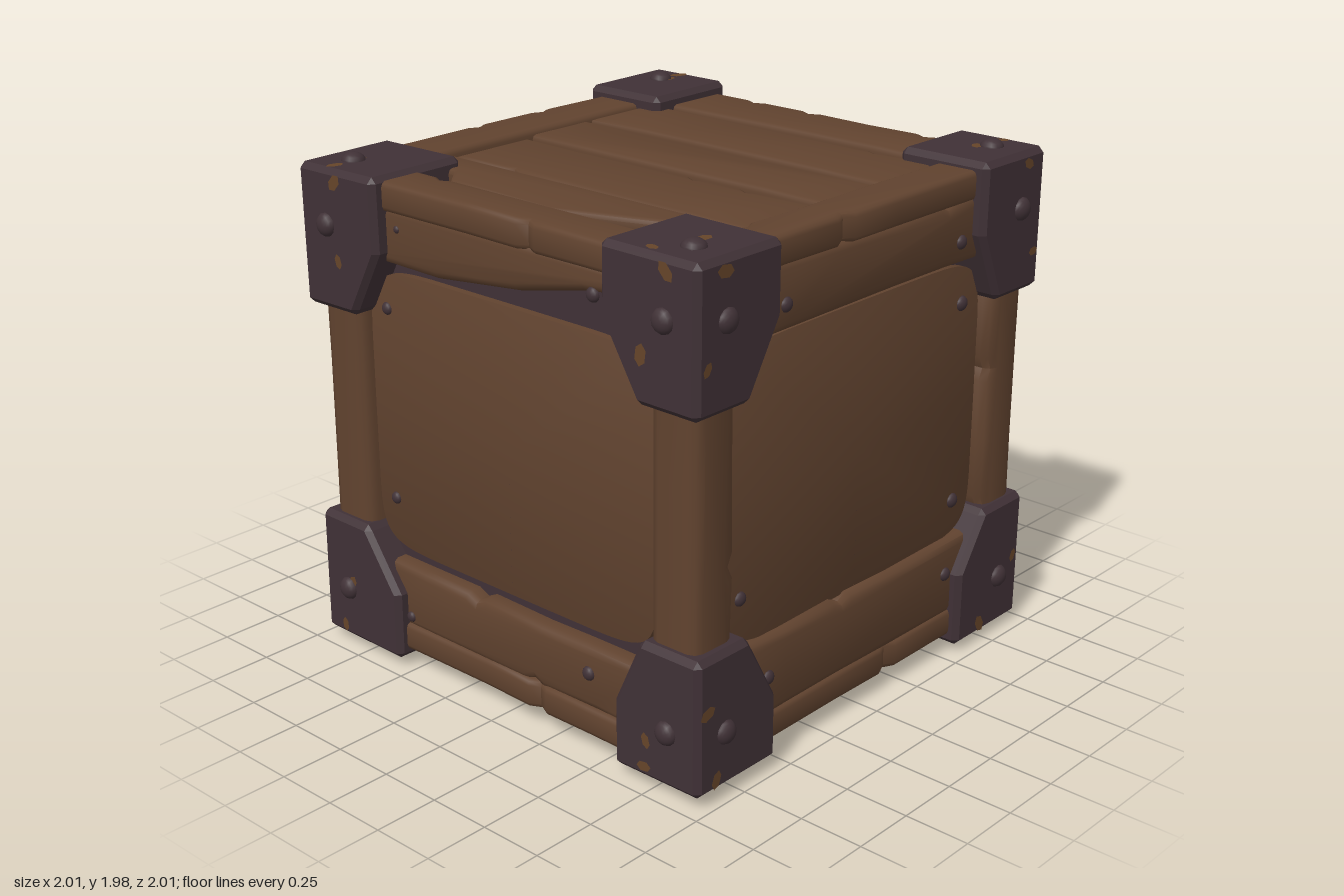
import * as THREE from 'three';
import { toCreasedNormals } from 'three/addons/utils/BufferGeometryUtils.js';
import { ConvexGeometry } from 'three/addons/geometries/ConvexGeometry.js';

const wood = new THREE.MeshStandardMaterial({ color: 0x61432f });
wood.name = 'brown wood';
const metal = new THREE.MeshStandardMaterial({ color: 0x403136 });
metal.name = 'dark metal';
const worn = new THREE.MeshStandardMaterial({ color: 0x664529 });
worn.name = 'worn edge';

let seed = 7;
const rnd = () => (seed = (seed * 16807) % 2147483647) / 2147483647;
const jitter = (a) => (rnd() * 2 - 1) * a;

function add(parent, name, geometry, material) {
  const mesh = new THREE.Mesh(geometry, material);
  mesh.name = name;
  parent.add(mesh);
  return mesh;
}

// Rectangle outline with worn, notched long sides
function wornRect(x0, y0, x1, y1) {
  const w = x1 - x0, h = y1 - y0, long = Math.max(w, h), short = Math.min(w, h);
  const side = (from, to, v, inward) => {
    const pts = [[from, v]];
    for (let i = 1; i < 5; i++) {
      const u = from + (to - from) * (i / 5) + jitter(0.04);
      const d = Math.sign(to - from) * 0.045;
      if (rnd() < 0.25) pts.push([u - d, v], [u, v + inward * 0.022], [u + d, v]);
      else pts.push([u, v + inward * rnd() * 0.009]);
    }
    return pts.concat([[to, v]]);
  };
  const pts = [...side(0, long, 0, 1), ...side(long, 0, short, -1)];
  return w >= h ? pts.map(([u, v]) => [x0 + u, y0 + v])
    : pts.map(([u, v]) => [x0 + v, y0 + u]).reverse();
}

// Bevelled board lying in a face, its outside at z = outer
function board(face, name, outline, outer, depth, bevel = 0.018) {
  const shape = new THREE.Shape(outline.map(([x, y]) => new THREE.Vector2(x, y)));
  const g = new THREE.ExtrudeGeometry(shape, {
    depth: depth - 2 * bevel, bevelThickness: bevel, bevelSize: bevel,
    bevelOffset: -bevel, bevelSegments: 2, steps: 1,
  });
  g.translate(0, 0, outer - depth + bevel);
  return add(face, name, toCreasedNormals(g, 0.85), wood);
}

const dome = new THREE.SphereGeometry(1, 12, 5, 0, Math.PI * 2, 0, Math.PI / 2).rotateX(Math.PI / 2);
function rivet(parent, x, y, z, r) {
  const m = add(parent, 'rivet', dome, metal);
  m.position.set(x, y, z);
  m.scale.set(r, r, r * 0.75);
}

// Slightly pillowed panel with rounded corners
function panel(face) {
  const g = new THREE.CylinderGeometry(1, 1, 0.05, 64).rotateX(Math.PI / 2);
  const p = g.attributes.position, n = g.attributes.normal;
  const square = (c, a) => Math.sign(c) * a * Math.pow(Math.abs(c), 0.24);
  for (let i = 0; i < p.count; i++) {
    const cx = p.getX(i), cy = p.getY(i);
    p.setXY(i, square(cx, 0.71), square(cy, 0.55));
    if (n.getZ(i) > 0.9) {
      const v = new THREE.Vector3(p.getX(i) * 0.3, p.getY(i) * 0.45, 1).normalize();
      n.setXYZ(i, v.x, v.y, v.z);
    }
  }
  g.translate(0, 1, 0.85);
  add(face, 'panel', g, wood);
}

function sideFace(name, angle, broken) {
  const face = new THREE.Group();
  face.name = name;
  face.rotation.y = angle;
  panel(face);
  const upper = broken
    ? [[-0.7, 1.59], [-0.3, 1.585], [-0.08, 1.61], [0.1, 1.63], [0.42, 1.7], [0.7, 1.73], [0.7, 1.805], [-0.7, 1.805]]
    : wornRect(-0.7, 1.56, 0.7, 1.81);
  board(face, 'upperBeam', upper, 0.915, 0.12, 0.03);
  board(face, 'lowerBeam', wornRect(-0.7, 0.15, 0.7, broken ? 0.405 : 0.46), 0.915, 0.12, 0.03);
  const rivets = broken
    ? [[-0.62, 1.4, 0.872, 0.025], [-0.62, 0.65, 0.872, 0.025], [-0.5, 1.73, 0.912, 0.015],
      [0.46, 1.7, 0.905, 0.028], [0.42, 0.3, 0.912, 0.028], [-0.52, 0.2, 0.912, 0.022]]
    : [[-0.64, 1.38, 0.872, 0.017], [0.6, 1.39, 0.872, 0.03], [-0.64, 0.64, 0.872, 0.028], [0.6, 0.6, 0.872, 0.03],
      [-0.47, 1.66, 0.912, 0.028], [0.52, 1.65, 0.912, 0.028], [-0.53, 0.31, 0.912, 0.028], [0.52, 0.33, 0.912, 0.028]];
  rivets.forEach((r) => rivet(face, ...r));
  return face;
}

// Frame and planks of the lid or the base; local y runs along the depth
function flatFace(name, rotation, outer, flip) {
  const face = new THREE.Group();
  face.name = name;
  face.rotation.x = rotation;
  const s = flip ? -1 : 1;
  const span = (a, b) => [Math.min(a * s, b * s), Math.max(a * s, b * s)];
  const frame = (x0, x1, ya, yb, lift) => {
    const [y0, y1] = span(ya, yb);
    board(face, 'frameBoard', wornRect(x0, y0, x1, y1), outer + lift, 0.11, 0.02);
  };
  frame(-0.8, 0.8, -0.92, -0.73, 0);
  frame(-0.8, 0.8, 0.69, 0.92, 0);
  frame(-0.93, -0.735, -0.73, 0.69, -0.004);
  frame(0.635, 0.925, -0.73, 0.69, -0.004);
  for (const [x0, x1, y1] of [[-0.445, -0.075, 0.7], [-0.05, 0.26, 0.75], [0.275, 0.625, 0.7]]) {
    const [a, b] = span(-0.725, y1);
    board(face, 'plank', wornRect(x0, a, x1, b), outer - 0.02 + jitter(0.008), 0.08);
  }
  // Split outer plank that leaves a three-cornered gap
  const split = [[-0.455, -0.72], [-0.455, 0.7], [-0.6, 0.7], [-0.61, 0.53], [-0.71, 0.44], [-0.73, -0.08], [-0.5, -0.7]];
  board(face, 'splitPlank', flip ? split.map(([x, y]) => [x, -y]).reverse() : split, outer - 0.02, 0.08);
  return face;
}

// Metal cap over one corner, with softened edges, rivets and worn spots
function cornerCap(sx, sy, sz) {
  const cap = new THREE.Group();
  cap.name = 'cornerCap';
  const inX = 0.58 + jitter(0.03), inZ = 0.58 + jitter(0.03), mid = 0.68 + jitter(0.03);
  const low = 0.455 + jitter(0.02), cut = 0.71, out = 0.943, end = 0.93, r = 0.022;
  const corners = [];
  for (const v of [end, mid]) {
    for (const x of [inX, out]) for (const z of [inZ, out]) corners.push([x, v, z]);
  }
  corners.push([cut, low, cut], [cut, low, out], [out, low, cut], [out, low, out]);
  const pts = [];
  for (const [x, y, z] of corners) {
    for (const d of [-r, r]) {
      pts.push(new THREE.Vector3(sx * (x + d), sy * y, sz * z),
        new THREE.Vector3(sx * x, sy * (y + d), sz * z),
        new THREE.Vector3(sx * x, sy * y, sz * (z + d)));
    }
  }
  add(cap, 'capShell', new ConvexGeometry(pts), metal);
  const directions = [[sx, 0, 0], [0, sy, 0], [0, 0, sz]];
  directions.forEach((d, axis) => {
    const plate = new THREE.Group();
    plate.name = 'capDetail';
    plate.quaternion.setFromUnitVectors(new THREE.Vector3(0, 0, 1), new THREE.Vector3(...d));
    const toPlate = plate.quaternion.clone().invert();
    const place = (a, b, c) => {
      const v = [sx * a, sy * b, sz * c];
      v[axis] = d[axis] * (axis === 1 ? end + r : out + r);
      return new THREE.Vector3(...v).applyQuaternion(toPlate);
    };
    const p = place(0.82, 0.74, 0.82);
    rivet(plate, p.x, p.y, p.z - 0.005, 0.046);
    // Irregular worn spots near the edges
    for (let i = 0; i < 2; i++) {
      const spots = [[0.68 + rnd() * 0.2, 0.905, 0.68 + rnd() * 0.2], [0.915, 0.55 + rnd() * 0.3, 0.72 + rnd() * 0.1]];
      const spot = add(plate, 'wornSpot', new THREE.CircleGeometry(0.02 + rnd() * 0.012, 6), worn);
      spot.position.copy(place(...spots[i])).z += 0.0015;
      spot.scale.set(1.3, 0.8, 1);
      spot.rotation.z = rnd() * 3;
    }
    cap.add(plate);
  });
  cap.position.y = 0.97 + (sx > 0 && sy > 0 ? 0.015 : 0);
  cap.rotation.set(jitter(0.012), jitter(0.015), jitter(0.012));
  return cap;
}

export function createModel() {
  seed = 7;
  const crate = new THREE.Group();
  crate.name = 'crate';

  // Dark backing seen in the gaps
  const core = add(crate, 'backing', new THREE.BoxGeometry(1.69, 1.7, 1.69), metal);
  core.position.y = 0.97;

  crate.add(sideFace('front', 0, false), sideFace('leftSide', Math.PI / 2, true),
    sideFace('back', Math.PI, false), sideFace('rightSide', -Math.PI / 2, true));
  crate.add(flatFace('lid', -Math.PI / 2, 1.9, false), flatFace('base', Math.PI / 2, -0.055, true));

  // Upright posts
  for (const sx of [-1, 1]) {
    for (const sz of [-1, 1]) {
      const x = sx * 0.825;
      board(crate, 'cornerPost', wornRect(x - 0.105, 0.2, x + 0.105, 1.75), sz > 0 ? 0.928 : -0.718, 0.21, 0.04);
      for (const sy of [-1, 1]) crate.add(cornerCap(sx, sy, sz));
    }
  }
  return crate;
}
